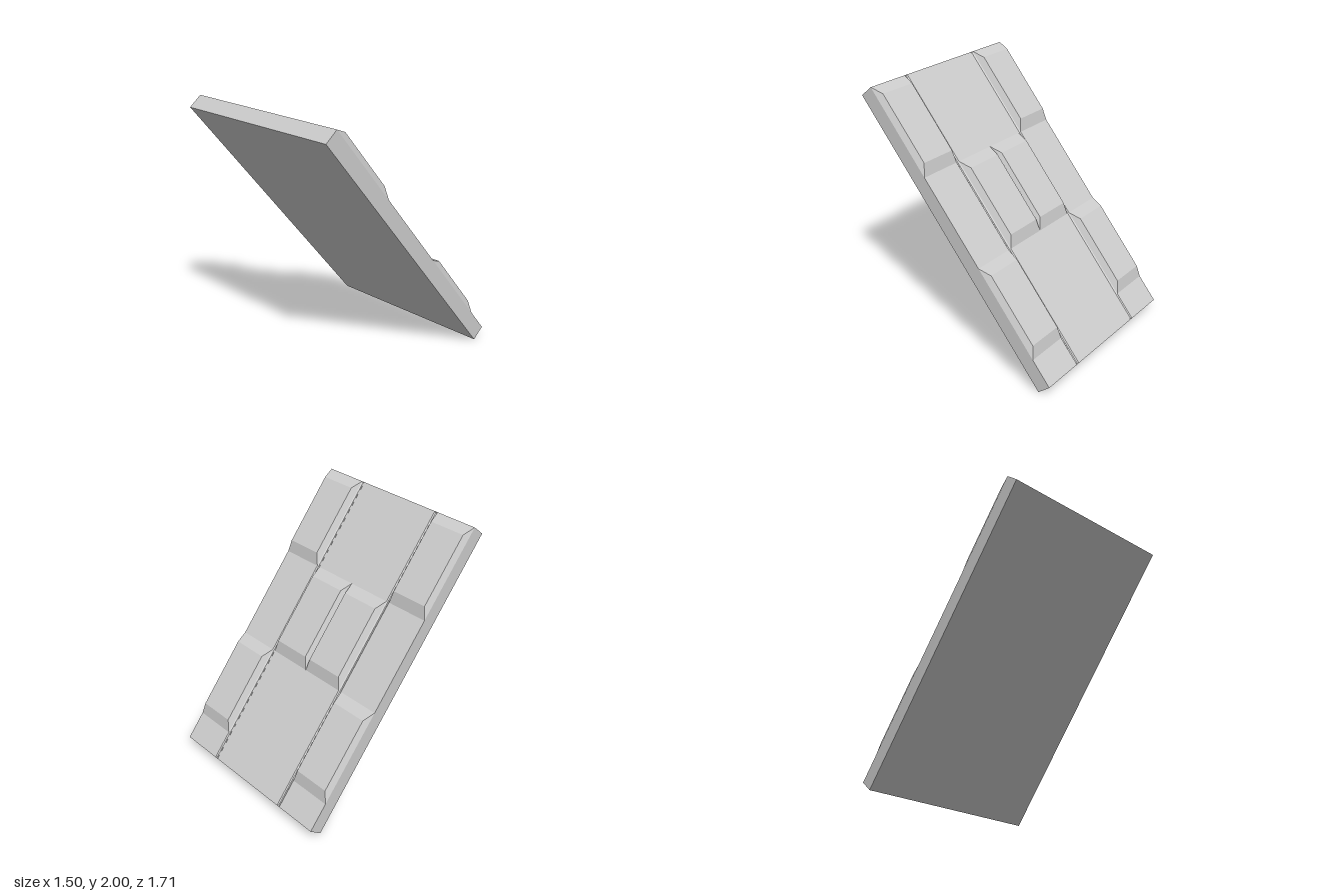
import * as THREE from 'three';

const WIDTH = 1.5, LENGTH = 2.507, THICK = 0.124;
const TILT = THREE.MathUtils.degToRad(50);
const GROOVE = { inner: 0.37, outer: 0.396, depth: 0.008 };
const PAD = { length: 0.759, start: 0.23, height: 0.05, insetX: 0.025, insetZ: 0.09 };

const material = new THREE.MeshStandardMaterial({ color: 0xcccccc, flatShading: true });

function addMesh(parent, name, geometry) {
  const mesh = new THREE.Mesh(geometry, material);
  mesh.name = name;
  parent.add(mesh);
  return mesh;
}

// Rectangle rising (or, with negative height, sinking) to a smaller inset rectangle; open underneath
function bevelledBlock(x0, x1, z0, z1, height, insetX, insetZ) {
  const ring = (dx, dz, y) => [
    [x0 + dx, y, z1 - dz], [x1 - dx, y, z1 - dz], [x1 - dx, y, z0 + dz], [x0 + dx, y, z0 + dz],
  ];
  const base = ring(0, 0, THICK), top = ring(insetX, insetZ, THICK + height);
  const points = [];
  const quad = (a, b, c, d) => points.push(...a, ...b, ...c, ...a, ...c, ...d);
  quad(...top);
  for (let i = 0; i < 4; i++) {
    const j = (i + 1) % 4;
    quad(base[i], base[j], top[j], top[i]);
  }
  const geometry = new THREE.BufferGeometry();
  geometry.setAttribute('position', new THREE.Float32BufferAttribute(points, 3));
  geometry.computeVertexNormals();
  return geometry;
}

// Flat strip of the slab's upper face
function panel(x0, x1) {
  return new THREE.PlaneGeometry(x1 - x0, LENGTH)
    .rotateX(-Math.PI / 2)
    .translate((x0 + x1) / 2, THICK, LENGTH / 2);
}

export function createModel() {
  const model = new THREE.Group();
  model.name = 'slopedPanel';

  // Everything is laid out flat, length along z, then tilted
  const slab = new THREE.Group();
  slab.name = 'tiltedSlab';
  slab.rotation.x = -TILT;
  slab.position.z = -(LENGTH * Math.cos(TILT) - THICK * Math.sin(TILT)) / 2;
  model.add(slab);

  // Slab sides and underside: a box without its upper face
  const body = new THREE.BoxGeometry(WIDTH, THICK, LENGTH).translate(0, THICK / 2, LENGTH / 2);
  const index = Array.from(body.index.array);
  index.splice(12, 6);
  body.setIndex(index);
  body.clearGroups();
  addMesh(slab, 'slabBody', body);

  addMesh(slab, 'centrePanel', panel(-GROOVE.inner, GROOVE.inner));

  // Long grooves, outer panels and raised pads, mirrored left and right
  for (const [side, s] of [['left', 1], ['right', -1]]) {
    const span = (a, b) => (s > 0 ? [a, b] : [-b, -a]);
    const pad = (name, a, b, row) => {
      const z0 = PAD.start + row * PAD.length;
      addMesh(slab, name, bevelledBlock(...span(a, b), z0, z0 + PAD.length,
        PAD.height, PAD.insetX, PAD.insetZ));
    };

    addMesh(slab, side + 'OuterPanel', panel(...span(GROOVE.outer, WIDTH / 2)));
    addMesh(slab, side + 'Groove', bevelledBlock(...span(GROOVE.inner, GROOVE.outer), 0, LENGTH,
      -GROOVE.depth, GROOVE.depth, GROOVE.depth));

    pad(side + 'LowerPad', GROOVE.outer, WIDTH / 2, 0);
    pad(side + 'MiddlePad', 0, GROOVE.inner, 1);
    pad(side + 'UpperPad', GROOVE.outer, WIDTH / 2, 2);
  }
  return model;
}
